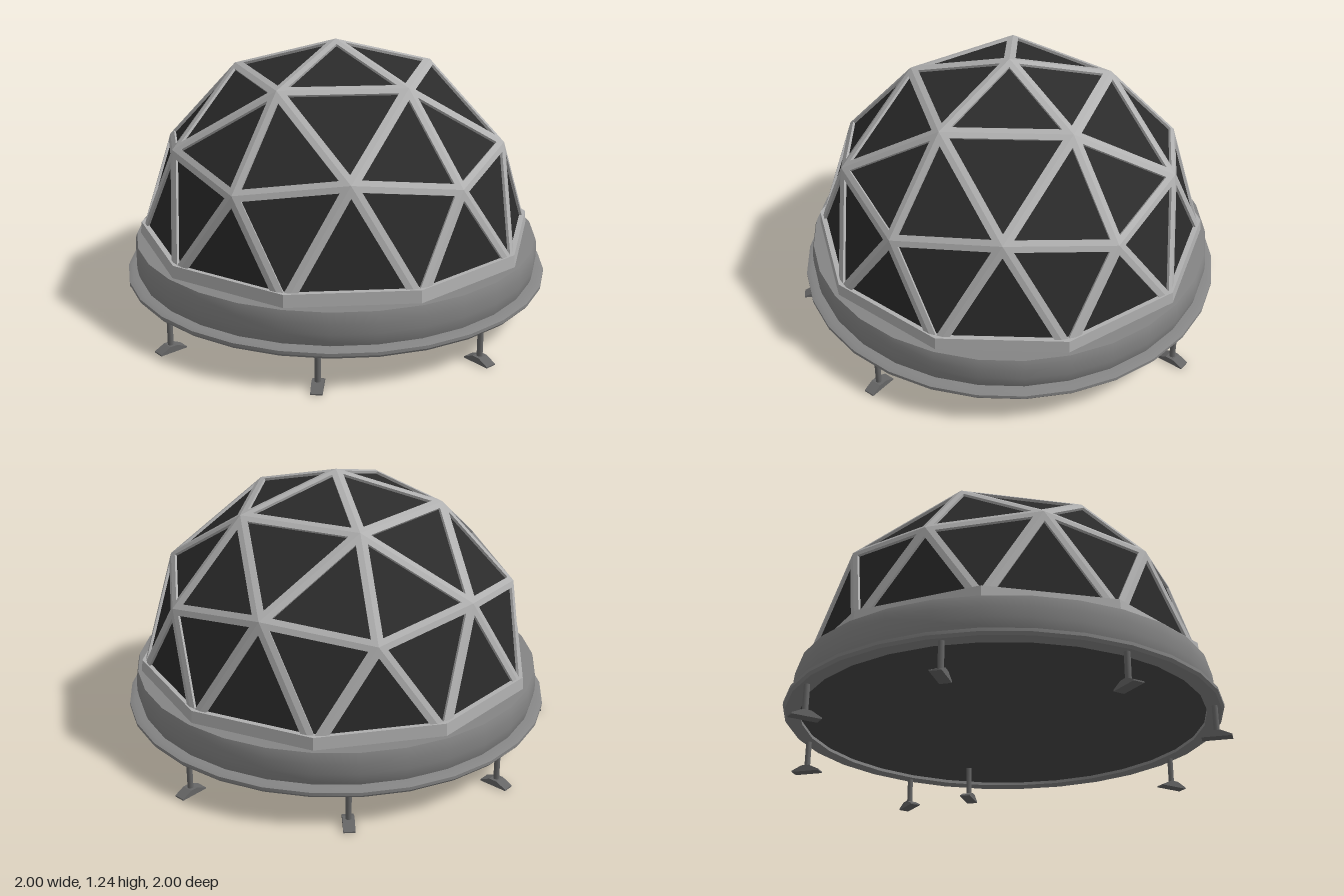
import * as THREE from 'three';
import { mergeGeometries, toCreasedNormals } from 'three/addons/utils/BufferGeometryUtils.js';

const R = 0.905, BASE_Y = 0.33, STRUT = 0.026, DEPTH = 0.035, RECESS = 0.012;
const mat = (color, extra = {}) => new THREE.MeshStandardMaterial({ color, ...extra });

function addMesh(parent, name, geometry, material) {
  const mesh = new THREE.Mesh(geometry, material);
  mesh.name = name;
  parent.add(mesh);
  return mesh;
}

// Point on the dome sphere from latitude and azimuth in degrees
function spherePoint(lat, az) {
  const a = THREE.MathUtils.degToRad(lat), b = THREE.MathUtils.degToRad(az);
  return new THREE.Vector3(R * Math.cos(a) * Math.cos(b), BASE_Y + R * Math.sin(a), R * Math.cos(a) * Math.sin(b));
}

// Triangles of a two-frequency geodesic hemisphere, ring by ring
function domeTriangles() {
  const top = spherePoint(90, 0), upper = [], middle = [], lower = [], tris = [];
  for (let k = 0; k < 5; k++) upper.push(spherePoint(58.28, 72 * k));
  for (let j = 0; j < 10; j++) {
    middle.push(spherePoint(j % 2 ? 31.72 : 26.57, 36 * j));
    lower.push(spherePoint(0, 18 + 36 * j));
  }
  for (let k = 0; k < 5; k++) {
    const a = upper[k], b = upper[(k + 1) % 5], j = 2 * k;
    tris.push([top, a, b], [a, middle[j], middle[j + 1]], [a, middle[j + 1], b],
      [a, middle[(j + 9) % 10], middle[j]]);
  }
  for (let j = 0; j < 10; j++) {
    tris.push([middle[j], lower[j], middle[(j + 1) % 10]], [middle[j], lower[(j + 9) % 10], lower[j]]);
  }
  return tris;
}

// Frame and recessed pane for one triangle
function framedPane([a, b, c]) {
  const la = b.distanceTo(c), lb = c.distanceTo(a), lc = a.distanceTo(b), perimeter = la + lb + lc;
  const centre = new THREE.Vector3().addScaledVector(a, la / perimeter)
    .addScaledVector(b, lb / perimeter).addScaledVector(c, lc / perimeter);
  const normal = b.clone().sub(a).cross(c.clone().sub(a));
  const inradius = normal.length() / perimeter;
  normal.normalize();
  if (normal.dot(centre.clone().sub(new THREE.Vector3(0, BASE_Y, 0))) < 0) normal.negate();
  const u = a.clone().sub(centre).normalize(), v = normal.clone().cross(u);
  const place = new THREE.Matrix4().makeBasis(u, v, normal).setPosition(centre);
  const outline = (s) => [a, b, c].map((p) => {
    const d = p.clone().sub(centre);
    return new THREE.Vector2(d.dot(u) * s, d.dot(v) * s);
  });
  const inner = 1 - STRUT / inradius;
  const shape = new THREE.Shape(outline(1));
  shape.holes.push(new THREE.Path(outline(inner)));
  const frame = new THREE.ExtrudeGeometry(shape, { depth: DEPTH, bevelEnabled: false })
    .translate(0, 0, -DEPTH).applyMatrix4(place);
  const pane = new THREE.ShapeGeometry(new THREE.Shape(outline(inner + 0.03)))
    .translate(0, 0, -RECESS).applyMatrix4(place);
  return { frame, pane };
}

// Closed ring turned from a profile that runs up its outer side
function ring(profile, sides) {
  const points = [...profile, profile[0]].map(([x, y]) => new THREE.Vector2(x, y));
  return toCreasedNormals(new THREE.LatheGeometry(points, sides), 0.6);
}

// Post with a wedge-shaped foot, long side pointing outward
function makeLeg(x, z, azimuth, material) {
  const leg = new THREE.Group();
  leg.name = 'leg';
  const profile = [[-0.065, 0], [0.065, 0], [0.065, 0.006], [0.018, 0.028], [-0.018, 0.028], [-0.065, 0.006]];
  const foot = new THREE.ExtrudeGeometry(
    new THREE.Shape(profile.map(([px, py]) => new THREE.Vector2(px, py))),
    { depth: 0.05, bevelEnabled: false }).translate(0, 0, -0.025);
  addMesh(leg, 'foot', foot, material);
  addMesh(leg, 'post', new THREE.CylinderGeometry(0.013, 0.013, 0.14, 10), material).position.y = 0.095;
  leg.position.set(x, 0, z);
  leg.rotation.y = -azimuth;
  return leg;
}

export function createModel() {
  const model = new THREE.Group();
  model.name = 'geodesicDome';
  const light = mat(0xb0b0b0, { side: THREE.DoubleSide }), grey = mat(0x858585, { side: THREE.DoubleSide });
  const paneDark = mat(0x2b2b2b, { side: THREE.DoubleSide }), floorDark = mat(0x484848), metal = mat(0x666666);

  // Dome lattice and panes
  const dome = new THREE.Group();
  dome.name = 'dome';
  const parts = domeTriangles().map(framedPane);
  addMesh(dome, 'struts', mergeGeometries(parts.map((p) => p.frame)), light);
  addMesh(dome, 'panes', mergeGeometries(parts.map((p) => p.pane)), paneDark);
  model.add(dome);

  // Ten-sided sill at the foot of the dome
  addMesh(model, 'sill', ring([[0.85, 0.32], [0.911, 0.32], [0.905, 0.385], [0.85, 0.385]], 10), light);

  // Round base wall with softened edges
  addMesh(model, 'baseWall', ring([[0.85, 0.17], [0.922, 0.175], [0.931, 0.2], [0.937, 0.235],
    [0.937, 0.28], [0.934, 0.31], [0.928, 0.33], [0.85, 0.33]], 30), grey);

  // Flange under the wall
  addMesh(model, 'flange', ring([[0.9, 0.146], [0.965, 0.146], [0.975, 0.158],
    [0.975, 0.172], [0.955, 0.18], [0.9, 0.18]], 30), grey);

  // Floor
  addMesh(model, 'floor', new THREE.CylinderGeometry(0.91, 0.91, 0.015, 30), floorDark).position.y = 0.168;

  // Legs round the rim, one of them set further in at the back
  for (let i = 0; i < 8; i++) {
    const azimuth = i * Math.PI / 4, inset = i === 7;
    model.add(makeLeg(inset ? 0.19 : 0.935 * Math.cos(azimuth), 0.935 * Math.sin(azimuth), azimuth, metal));
  }
  return model;
}
